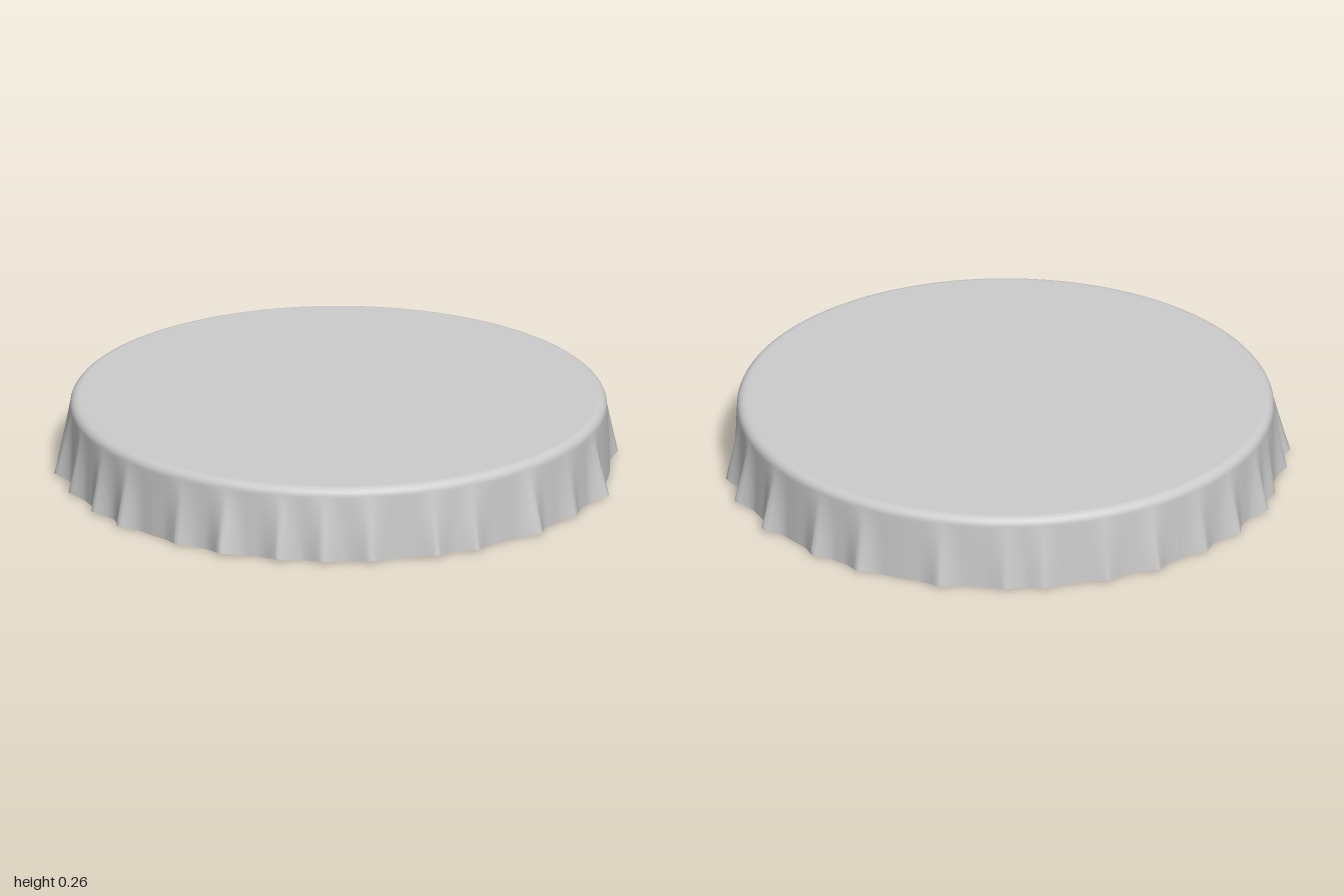
import * as THREE from 'three';

// Outer tips of the irregular crimps around the lower rim, as [x, z]
const TIPS = [
  [-0.12, -0.985], [0.08, -0.985], [0.34, -0.94], [0.55, -0.83], [0.68, -0.71],
  [0.94, -0.33], [0.965, -0.11], [0.99, 0.12], [0.91, 0.38], [0.84, 0.52],
  [0.69, 0.71], [0.56, 0.82], [0.42, 0.9], [0.22, 0.98], [0.03, 0.985],
  [-0.24, 0.97], [-0.4, 0.91], [-0.58, 0.81], [-0.74, 0.69], [-0.81, 0.58],
  [-0.9, 0.4], [-0.965, 0.28], [-1.0, 0.08], [-0.99, -0.1], [-0.95, -0.32],
  [-0.86, -0.49], [-0.72, -0.68], [-0.62, -0.77], [-0.42, -0.9],
];
const CX = -0.01, R = 0.952, TOP = 0.267, SHOULDER = 0.235;
const SEGMENTS = 480;

const crimps = TIPS.map(([x, z]) => ({
  angle: Math.atan2(z, x - CX),
  height: Math.max(0.025, Math.hypot(x - CX, z) - R),
}));

// How far the rim is pushed outwards at an angle: one pointed ridge per crimp
function flare(angle) {
  let out = 0;
  for (const c of crimps) {
    const d = Math.abs(Math.atan2(Math.sin(angle - c.angle), Math.cos(angle - c.angle)));
    const k = Math.max(0, 1 - d / 0.085);
    out = Math.max(out, c.height * k * k * (1.6 - 0.6 * k));
  }
  return out;
}

// Sheet swept round the axis from [radius, y, crimp amount] rings
function sheet(rings) {
  const pos = [], index = [];
  rings.forEach(([r, y, amount], j) => {
    for (let i = 0; i < SEGMENTS; i++) {
      const a = (i / SEGMENTS) * Math.PI * 2;
      const f = flare(a);
      const rr = r + f * amount;
      pos.push(CX + rr * Math.cos(a), y + f * 0.25 * amount * amount, rr * Math.sin(a));
      if (j === 0) continue;
      const n = (i + 1) % SEGMENTS;
      const p = (j - 1) * SEGMENTS, q = j * SEGMENTS;
      index.push(p + i, p + n, q + i, p + n, q + n, q + i);
    }
  });
  const g = new THREE.BufferGeometry();
  g.setAttribute('position', new THREE.Float32BufferAttribute(pos, 3));
  g.setIndex(index);
  g.computeVertexNormals();
  return g;
}

export function createModel() {
  const group = new THREE.Group();
  group.name = 'crimpedCap';
  const material = new THREE.MeshStandardMaterial({ color: 0xcccccc, side: THREE.DoubleSide });

  // Flat top
  const top = new THREE.Mesh(new THREE.CircleGeometry(0.91, 120), material);
  top.name = 'top';
  top.rotation.x = -Math.PI / 2;
  top.position.set(CX, TOP, 0);
  group.add(top);

  // Rounded shoulder running into the crimped skirt, open underneath
  const rings = [[0.909, TOP, 0]];
  for (let i = 1; i <= 6; i++) {
    const a = (i / 6) * Math.PI / 2;
    rings.push([0.91 + 0.032 * Math.sin(a), SHOULDER + (TOP - SHOULDER) * Math.cos(a), 0]);
  }
  for (let i = 1; i <= 10; i++) {
    const t = i / 10;
    rings.push([0.942 + (R - 0.942) * t, SHOULDER + (0.004 - SHOULDER) * t, t]);
  }
  const skirt = new THREE.Mesh(sheet(rings), material);
  skirt.name = 'crimpedSkirt';
  group.add(skirt);

  return group;
}
